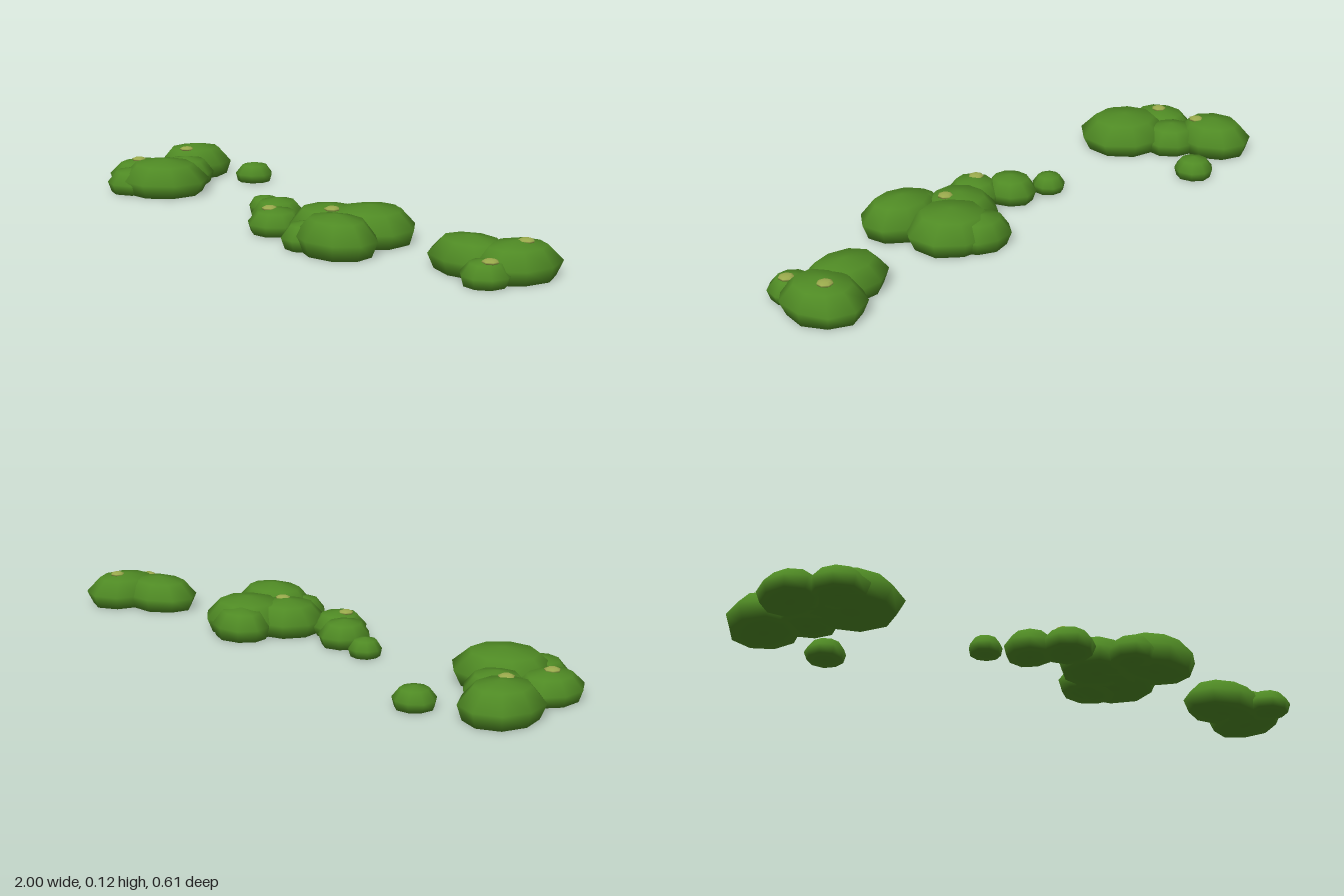
import * as THREE from 'three';
import { mergeVertices } from 'three/addons/utils/BufferGeometryUtils.js';

// Small seeded generator for the irregular outlines
function seeded(seed) {
  let s = seed * 7919 + 17;
  return () => {
    s = (s * 16807) % 2147483647;
    return s / 2147483647;
  };
}

// Cushion cross-section: radius and height, both as fractions
const PROFILE = [[0, 0], [0.87, 0], [1, 0.42], [0.66, 0.87], [0, 1]];

// Height of the cushion's upper surface at a fraction of its radius
function surfaceHeight(r) {
  return r < 0.66 ? 1 - 0.13 * r / 0.66 : 0.87 - 0.45 * (r - 0.66) / 0.34;
}

// Low, slightly irregular nine-sided cushion with smooth normals
function cushionGeometry(seed) {
  const rand = seeded(seed);
  const raw = new THREE.LatheGeometry(PROFILE.map(([r, y]) => new THREE.Vector2(r, y)), 9, rand() * 6);
  raw.deleteAttribute('uv');
  raw.deleteAttribute('normal');
  const geo = mergeVertices(raw, 1e-3);
  const p = geo.attributes.position;
  for (let i = 0; i < p.count; i++) {
    const k = 0.98 + rand() * 0.06;
    p.setX(i, p.getX(i) * k);
    p.setZ(i, p.getZ(i) * k);
  }
  geo.computeVertexNormals();
  return geo;
}

// Each cushion: x, z, radius x, radius z, height, then an optional tip x, z
const PATCHES = {
  rightPatch: [
    [-0.88, -0.14, 0.123, 0.14, 0.115, -0.853, -0.083],
    [-0.64, -0.24, 0.068, 0.068, 0.068],
    [-0.78, -0.03, 0.105, 0.1, 0.095],
    [-0.88, 0.1, 0.1, 0.12, 0.087, -0.88, 0.11],
    [-0.695, 0.12, 0.165, 0.155, 0.117],
    [-0.765, 0.2, 0.1, 0.1, 0.085],
  ],
  middlePatch: [
    [-0.2, 0.04, 0.056, 0.055, 0.062],
    [-0.065, 0.09, 0.085, 0.09, 0.085],
    [0.03, 0.17, 0.09, 0.092, 0.08, 0.01, 0.18],
    [0.25, -0.08, 0.108, 0.09, 0.1],
    [0.3, 0.0, 0.153, 0.145, 0.115],
    [0.19, 0.08, 0.13, 0.125, 0.11, 0.23, 0.1],
    [0.35, 0.18, 0.15, 0.115, 0.121],
    [0.245, 0.21, 0.078, 0.085, 0.085],
  ],
  leftPatch: [
    [0.75, -0.005, 0.15, 0.11, 0.107],
    [0.88, -0.06, 0.12, 0.143, 0.108, 0.89, -0.085],
    [0.885, 0.072, 0.077, 0.077, 0.075, 0.905, 0.075],
  ],
};

export function createModel() {
  const moss = new THREE.MeshStandardMaterial({ color: 0x4f8a24 });
  moss.name = 'mossGreen';
  const pale = new THREE.MeshStandardMaterial({ color: 0x9aaa4c });
  pale.name = 'paleTip';

  const model = new THREE.Group();
  model.name = 'mossPatches';
  const tipGeo = new THREE.SphereGeometry(1, 7, 5);
  let seed = 1;

  for (const [name, cushions] of Object.entries(PATCHES)) {
    const patch = new THREE.Group();
    patch.name = name;
    for (const [x, z, rx, rz, h, tx, tz] of cushions) {
      const cushion = new THREE.Mesh(cushionGeometry(seed++), moss);
      cushion.name = 'mossCushion';
      cushion.position.set(x, 0, z);
      cushion.scale.set(rx, h, rz);
      patch.add(cushion);

      // Pale growing tip resting on the cushion
      if (tx !== undefined) {
        const tip = new THREE.Mesh(tipGeo, pale);
        tip.name = 'mossTip';
        const r = Math.hypot((tx - x) / rx, (tz - z) / rz);
        tip.position.set(tx, h * surfaceHeight(r), tz);
        tip.scale.set(0.026, 0.009, 0.026);
        patch.add(tip);
      }
    }
    model.add(patch);
  }
  return model;
}
